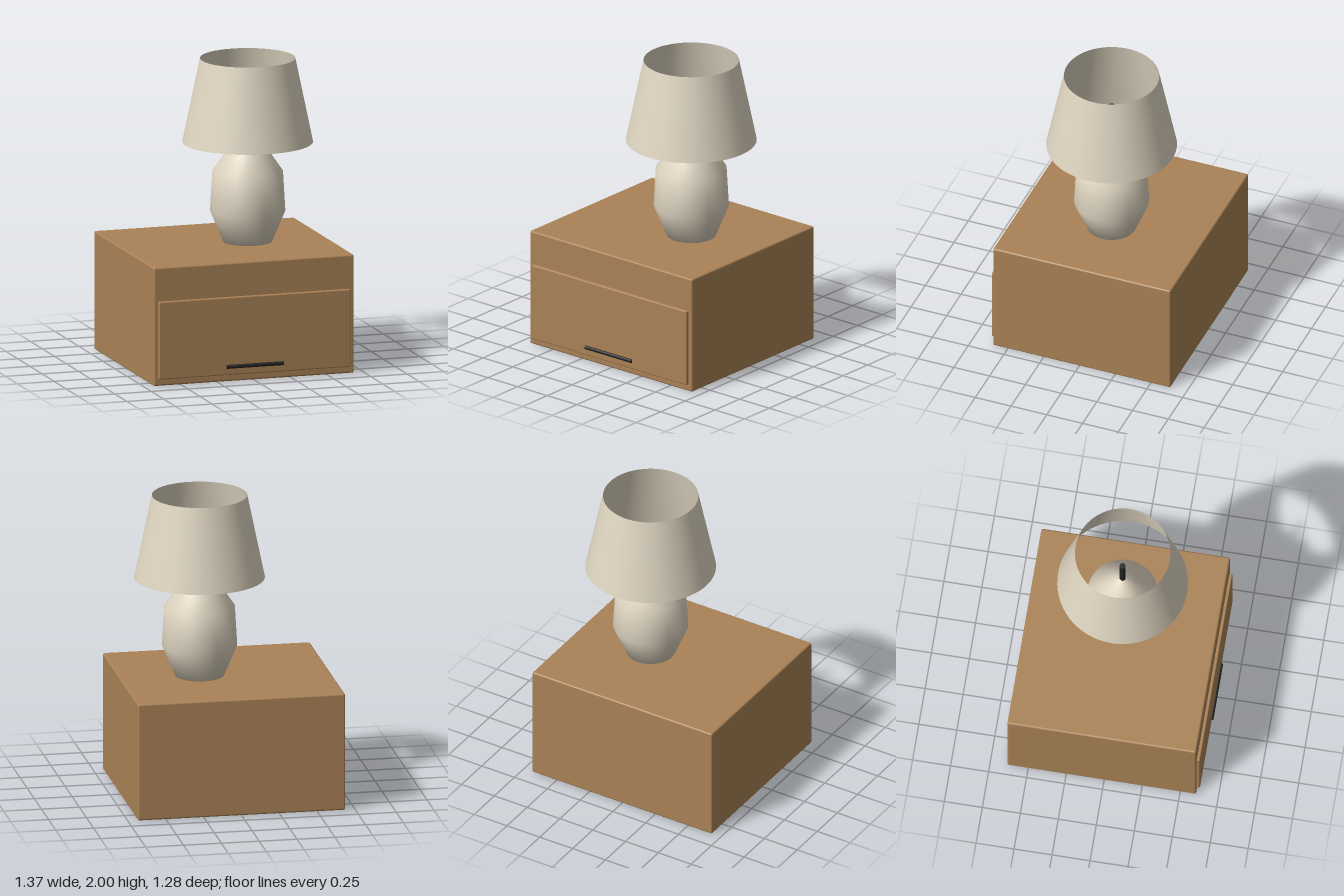
import * as THREE from 'three';
import { RoundedBoxGeometry } from 'three/addons/geometries/RoundedBoxGeometry.js';

const material = (name, color, side = THREE.FrontSide) => {
  const m = new THREE.MeshStandardMaterial({ color, side });
  m.name = name;
  return m;
};

export function createModel() {
  const wood = material('wood', 0xaa8256);
  const cream = material('cream', 0xe0d6c2, THREE.DoubleSide);
  const black = material('black', 0x222222);

  const model = new THREE.Group();
  model.name = 'nightstandWithLamp';
  const add = (parent, name, geometry, mat, x, y, z) => {
    const mesh = new THREE.Mesh(geometry, mat);
    mesh.name = name;
    mesh.position.set(x, y, z);
    parent.add(mesh);
    return mesh;
  };

  // Nightstand: body, raised drawer front and bar handle
  const stand = new THREE.Group();
  stand.name = 'nightstand';
  model.add(stand);
  add(stand, 'cabinet', new RoundedBoxGeometry(1.37, 0.785, 1.242, 3, 0.012), wood, 0, 0.3925, -0.017);
  add(stand, 'drawerFront', new RoundedBoxGeometry(1.31, 0.515, 0.04, 3, 0.008), wood, 0, 0.303, 0.605);
  const handle = add(stand, 'drawerHandle', new THREE.CylinderGeometry(0.013, 0.013, 0.39, 16), black, 0, 0.101, 0.625);
  handle.rotation.z = Math.PI / 2;

  // Lamp: turned vase base, slim stem and open conical shade
  const lamp = new THREE.Group();
  lamp.name = 'lamp';
  lamp.position.set(0.162, 0, -0.018);
  model.add(lamp);
  const profile = [
    [0, 0.785], [0.16, 0.785], [0.245, 0.99], [0.23, 1.25], [0.095, 1.445], [0.03, 1.53], [0, 1.54],
  ].map(([r, y]) => new THREE.Vector2(r, y));
  add(lamp, 'lampBase', new THREE.LatheGeometry(profile, 48), cream, 0, 0, 0);
  add(lamp, 'lampStem', new THREE.CylinderGeometry(0.02, 0.02, 0.25, 20), black, 0, 1.635, 0);
  add(lamp, 'lampShade', new THREE.CylinderGeometry(0.31, 0.425, 0.555, 64, 1, true), cream, 0, 1.7225, 0);

  return model;
}
